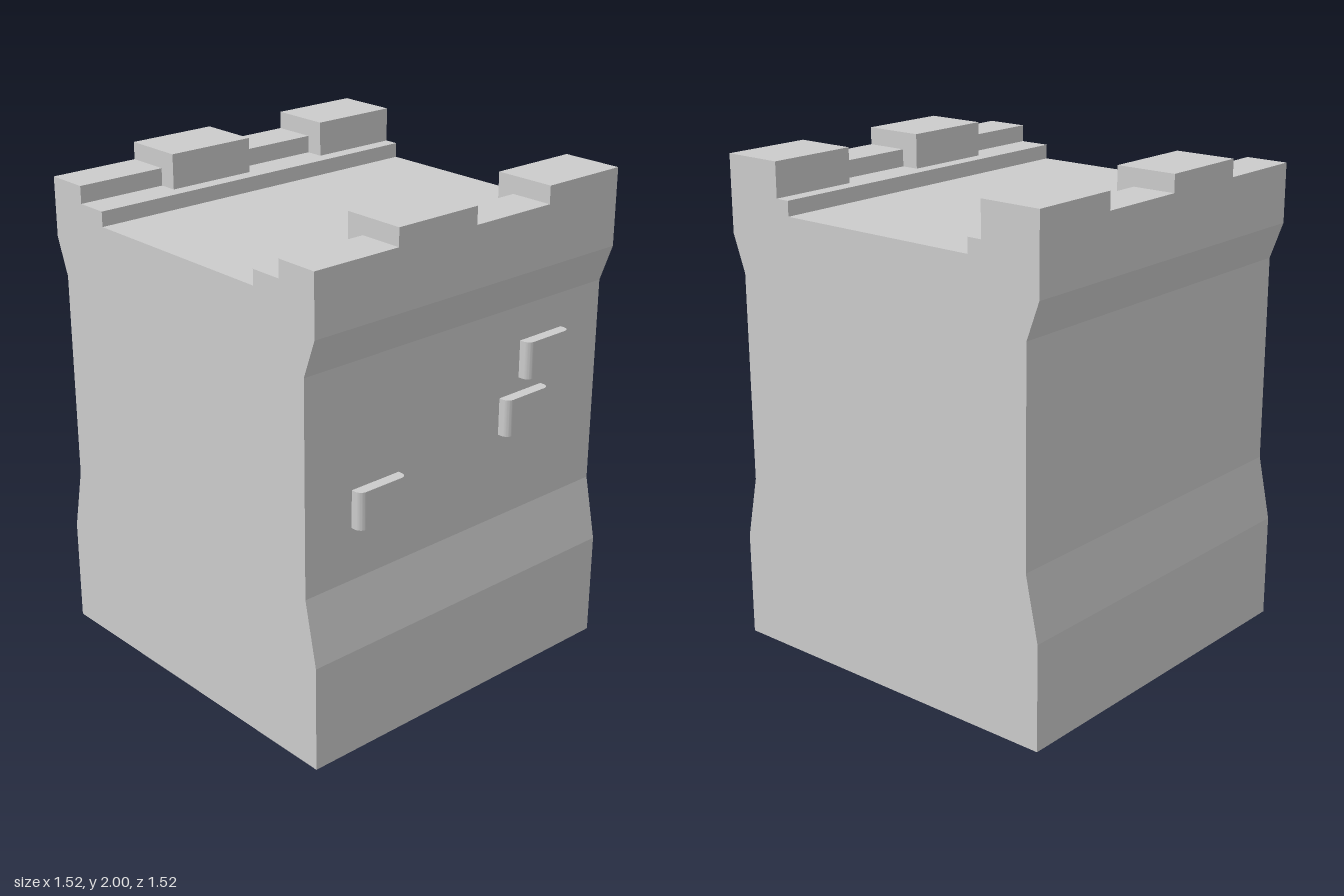
import * as THREE from 'three';
import { toCreasedNormals } from 'three/addons/utils/BufferGeometryUtils.js';

const HALF = 0.76;       // half width and half depth of the block
const WALL = 0.705;      // half width at the waist

const material = new THREE.MeshStandardMaterial({ color: 0xcccccc });

const toShape = (points) => new THREE.Shape(points.map(([x, y]) => new THREE.Vector2(x, y)));

// Extrudes an x-y outline along z, from z0 to z1
function prism(name, points, z0, z1) {
  const geometry = new THREE.ExtrudeGeometry(toShape(points), { depth: z1 - z0, bevelEnabled: false });
  geometry.translate(0, 0, z0);
  const mesh = new THREE.Mesh(geometry, material);
  mesh.name = name;
  return mesh;
}

// Brick standing out of the right-hand wall, with rounded upright edges
function brick(y, z) {
  const width = 0.23, height = 0.15, r = 0.03, inner = WALL - 0.005, outer = 0.75;
  const shape = new THREE.Shape();
  shape.moveTo(inner, -width / 2);
  shape.lineTo(outer - r, -width / 2);
  shape.absarc(outer - r, -width / 2 + r, r, -Math.PI / 2, 0);
  shape.absarc(outer - r, width / 2 - r, r, 0, Math.PI / 2);
  shape.lineTo(inner, width / 2);
  const geometry = new THREE.ExtrudeGeometry(shape, { depth: height, bevelEnabled: false, curveSegments: 5 });
  geometry.rotateX(-Math.PI / 2);
  const mesh = new THREE.Mesh(toCreasedNormals(geometry, Math.PI / 4), material);
  mesh.position.set(0, y - height / 2, z);
  mesh.name = 'brick';
  return mesh;
}

export function createModel() {
  const group = new THREE.Group();
  group.name = 'wallSection';

  // Waisted wall with a stepped walkway, one half outline mirrored
  const half = [
    [HALF, 0], [HALF, 0.43], [WALL, 0.69], [WALL, 1.54], [HALF, 1.69],
    [HALF, 1.93], [0.58, 1.93], [0.58, 1.86], [0.445, 1.86], [0.445, 1.8],
  ];
  const mirrored = half.map(([x, y]) => [-x, y]).reverse();
  group.add(prism('wall', [...half, ...mirrored], -HALF, HALF));

  // Battlements: two on each parapet, overhanging the inner step
  const outline = [[0.505, 1.86], [0.58, 1.86], [0.58, 1.93], [HALF, 1.93], [HALF, 2], [0.505, 2]];
  for (const side of [-1, 1]) {
    for (const z of [-HALF, 0]) {
      group.add(prism('battlement', outline.map(([x, y]) => [side * x, y]), z, z + HALF / 2));
    }
  }

  // Bricks on the +x face
  for (const [y, z] of [[0.977, 0.425], [1.117, -0.328], [1.325, -0.43]]) group.add(brick(y, z));

  return group;
}
